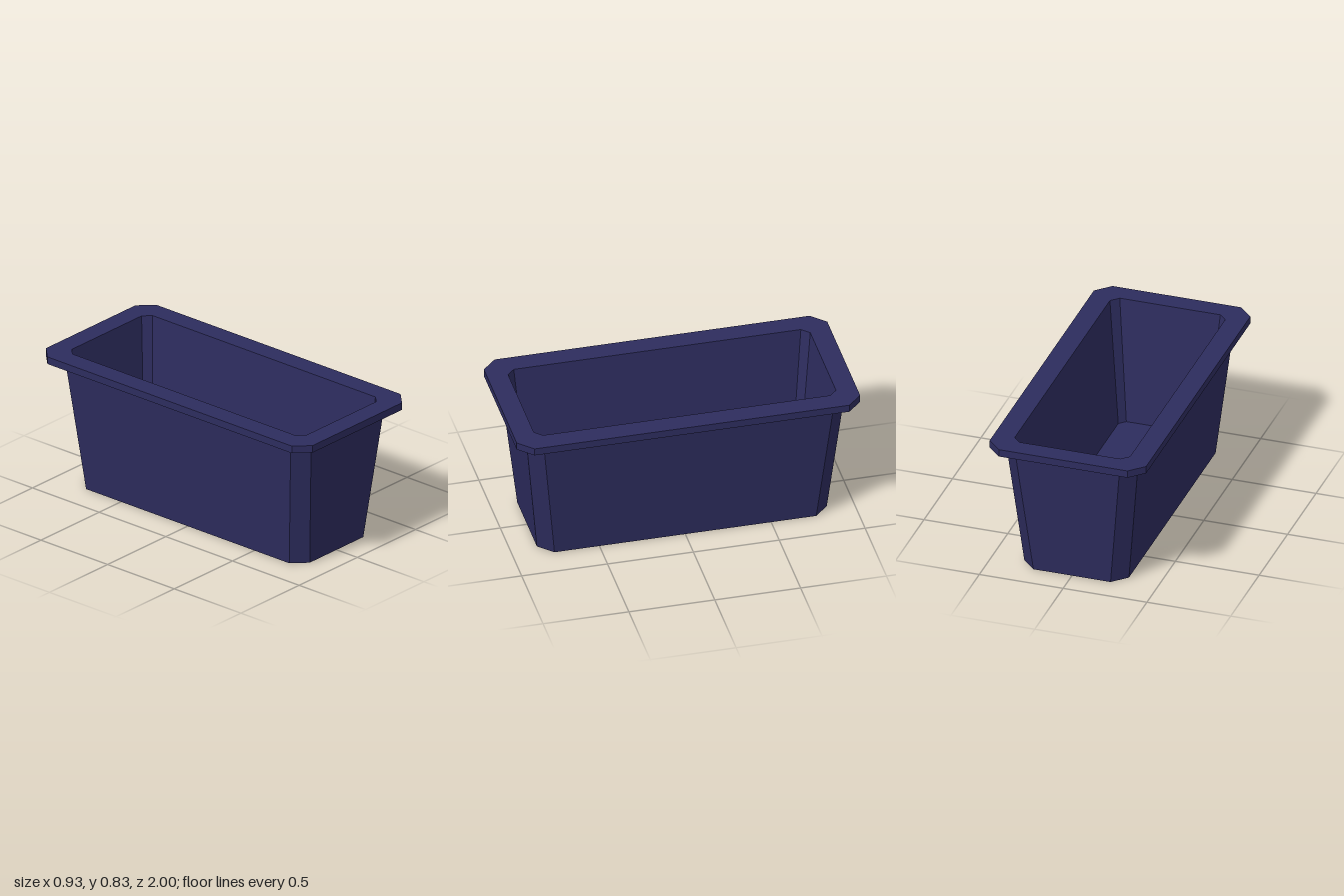
import * as THREE from 'three';

// Rectangle with chamfered corners at height y: half width, half length, chamfer
function ring([y, hx, hz, c]) {
  return [
    [hx, hz - c], [hx - c, hz], [c - hx, hz], [-hx, hz - c],
    [-hx, c - hz], [c - hx, -hz], [hx - c, -hz], [hx, c - hz],
  ].map(([x, z]) => new THREE.Vector3(x, y, z));
}

// Flat-faced surface through successive rings; a ring of zero size closes it
function loft(sections) {
  const rings = sections.map(ring);
  const pts = [];
  const tri = (a, b, c) => {
    if (!a.equals(b) && !b.equals(c) && !c.equals(a)) pts.push(a, b, c);
  };
  for (let s = 0; s + 1 < rings.length; s++) {
    const lo = rings[s], hi = rings[s + 1];
    for (let i = 0; i < 8; i++) {
      const j = (i + 1) % 8;
      tri(lo[i], hi[i], hi[j]);
      tri(lo[i], hi[j], lo[j]);
    }
  }
  const geometry = new THREE.BufferGeometry().setFromPoints(pts);
  geometry.computeVertexNormals();
  return geometry;
}

export function createModel() {
  const group = new THREE.Group();
  group.name = 'planter';
  const navy = new THREE.MeshStandardMaterial({ color: 0x2d2c5e });
  navy.name = 'navy plastic';

  const base = [0, 0.312, 0.844, 0.082];
  const wallTop = [0.785, 0.394, 0.926, 0.082];
  const innerTop = [0.829, 0.344, 0.88, 0.044];
  const floorEdge = [0.08, 0.272, 0.807, 0.036];

  const parts = {
    // tapered outside with its underside
    outerWall: [[0, 0, 0, 0], base, wallTop],
    // overhanging lip
    rim: [wallTop, [0.785, 0.467, 1, 0.083], [0.829, 0.467, 1, 0.083], innerTop],
    // hollow inside and its floor
    innerWall: [innerTop, floorEdge],
    floor: [floorEdge, [0.08, 0, 0, 0]],
  };
  for (const [name, sections] of Object.entries(parts)) {
    const mesh = new THREE.Mesh(loft(sections), navy);
    mesh.name = name;
    group.add(mesh);
  }
  return group;
}
